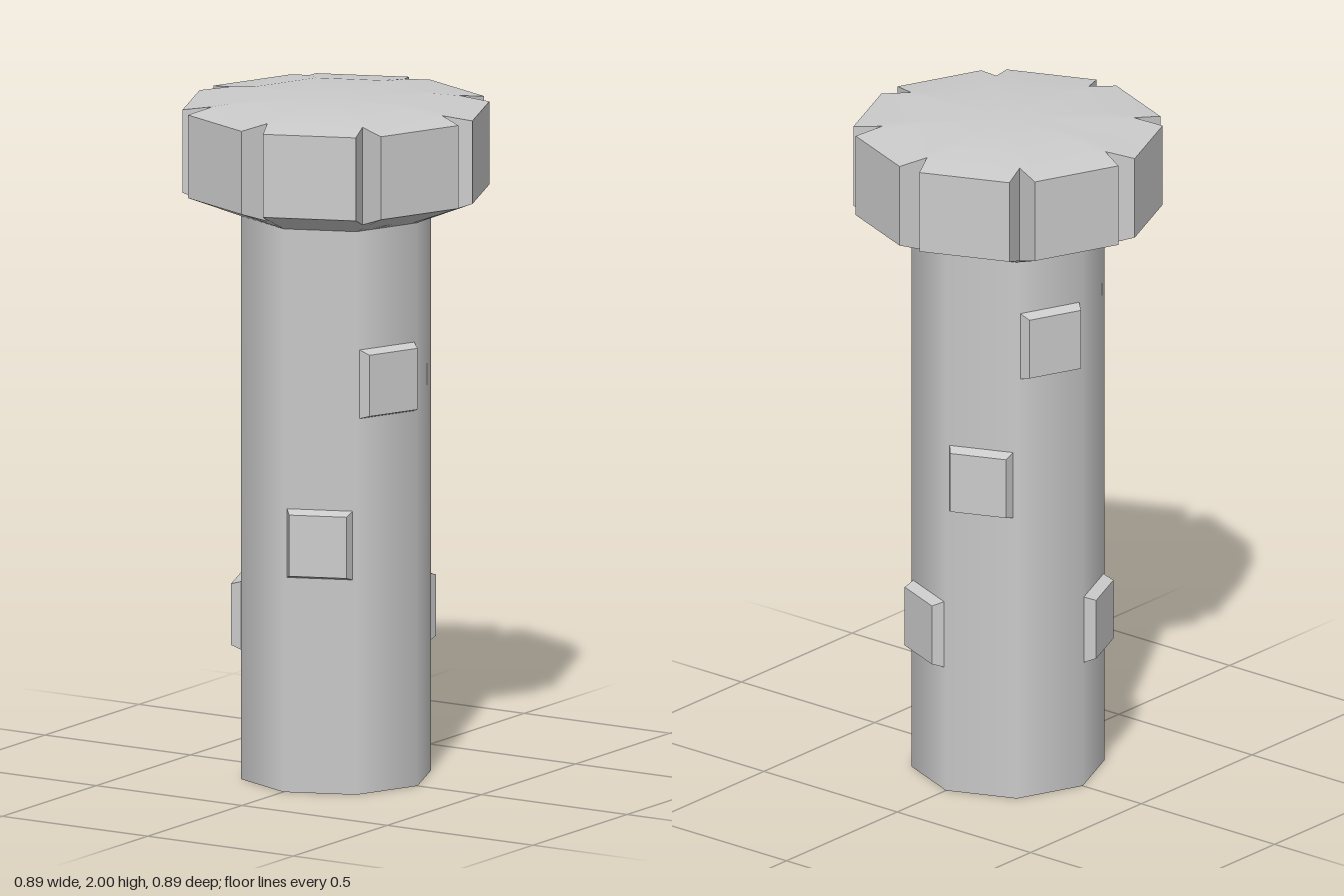
import * as THREE from 'three';
import { toCreasedNormals } from 'three/addons/utils/BufferGeometryUtils.js';

const SIDES = 8;
const STEP = (Math.PI * 2) / SIDES;
const SHAFT_R = 0.28;
const NOTCH_HALF = 0.083; // half angle of a notch mouth

// Distance from the axis to an octagon's side, with corners on the axes
function octagonRadius(radius, angle) {
  const local = ((angle % STEP) + STEP) % STEP;
  return (radius * Math.cos(STEP / 2)) / Math.cos(local - STEP / 2);
}

// One ring of the head: shoulder, notch and shoulder again at every corner
function headRing(radius, y, notchRadius, notchY) {
  const ring = [];
  for (let k = 0; k < SIDES; k++) {
    for (const side of [-1, 0, 1]) {
      const angle = k * STEP + side * NOTCH_HALF;
      const r = side === 0 ? notchRadius : octagonRadius(radius, angle);
      ring.push([Math.sin(angle) * r, side === 0 ? notchY : y, Math.cos(angle) * r]);
    }
  }
  return ring;
}

function headGeometry() {
  const rings = [
    headRing(SHAFT_R - 0.005, 1.66, SHAFT_R - 0.005, 1.66),
    headRing(0.46, 1.73, 0.365, 1.7),
    headRing(0.46, 1.975, 0.365, 1.988),
    headRing(0.28, 1.998, 0.28, 1.998),
  ];
  const n = rings[0].length;
  const positions = rings.flat(2);
  const index = [];
  for (let j = 0; j < rings.length - 1; j++) {
    for (let i = 0; i < n; i++) {
      const a = j * n + i;
      const b = j * n + ((i + 1) % n);
      index.push(a, b, b + n, a, b + n, a + n);
    }
  }
  // Close the top and the underside
  const top = positions.length / 3;
  positions.push(0, 2, 0, 0, 1.66, 0);
  const last = (rings.length - 1) * n;
  for (let i = 0; i < n; i++) {
    const next = (i + 1) % n;
    index.push(last + i, last + next, top, next, i, top + 1);
  }
  const geometry = new THREE.BufferGeometry();
  geometry.setAttribute('position', new THREE.Float32BufferAttribute(positions, 3));
  geometry.setIndex(index);
  return toCreasedNormals(geometry, 0.7);
}

// Raised block with bevelled sides, its back sunk into the shaft
function blockGeometry() {
  const geometry = new THREE.BoxGeometry(0.2, 0.21, 0.045);
  const p = geometry.attributes.position;
  for (let i = 0; i < p.count; i++) {
    if (p.getZ(i) > 0) p.setXY(i, p.getX(i) * 0.84, p.getY(i) * 0.86);
  }
  geometry.translate(0, 0, 0.27);
  geometry.computeVertexNormals();
  return geometry;
}

export function createModel() {
  const model = new THREE.Group();
  model.name = 'studdedPillar';
  const smooth = new THREE.MeshStandardMaterial({ color: 0xcccccc });
  const flat = new THREE.MeshStandardMaterial({ color: 0xcccccc, flatShading: true });

  // Eight-sided shaft
  const shaft = new THREE.Mesh(new THREE.CylinderGeometry(SHAFT_R, SHAFT_R, 1.67, SIDES), smooth);
  shaft.position.y = 0.835;
  shaft.name = 'shaft';
  model.add(shaft);

  // Notched head
  const head = new THREE.Mesh(headGeometry(), smooth);
  head.name = 'head';
  model.add(head);

  // Blocks scattered over the shaft faces: [face number from the front, height]
  const blocks = new THREE.Group();
  blocks.name = 'blocks';
  const geometry = blockGeometry();
  const places = [[0, 0.735], [1, 1.21], [3, 0.48], [4, 0.97], [5, 1.4], [6, 0.48]];
  for (const [face, height] of places) {
    const block = new THREE.Mesh(geometry, flat);
    block.name = 'block';
    block.rotation.y = (face + 0.5) * STEP;
    block.position.y = height;
    blocks.add(block);
  }
  model.add(blocks);
  return model;
}
